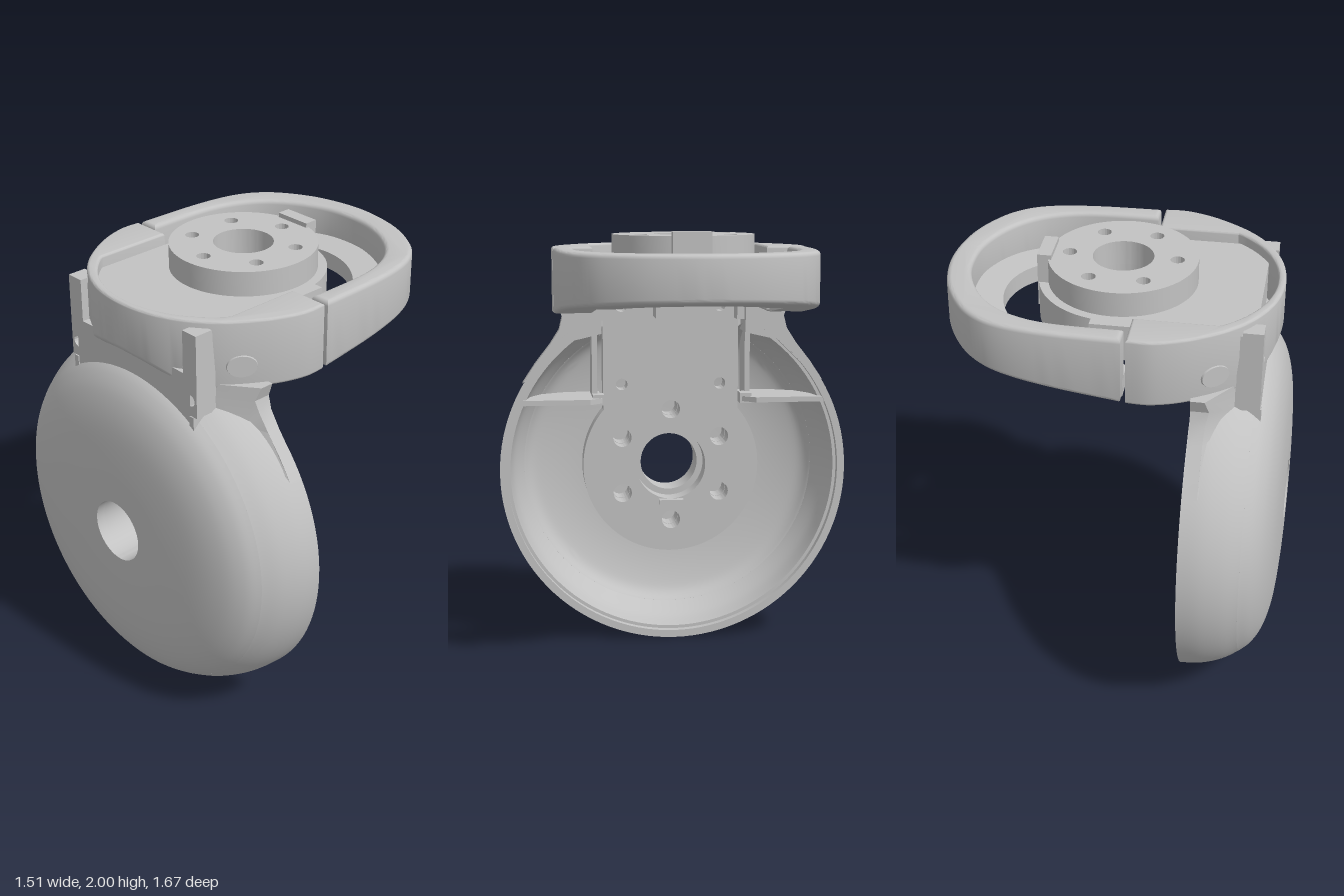
import * as THREE from 'three';
import { toCreasedNormals } from 'three/addons/utils/BufferGeometryUtils.js';

const grey = new THREE.MeshStandardMaterial({ color: 0xc2c2c2, side: THREE.DoubleSide });
grey.name = 'plain grey';

const HUB_Y = 0.84; // height of the bowl axis

export function createModel() {
  const model = new THREE.Group();

  const add = (name, geometry) => {
    const mesh = new THREE.Mesh(toCreasedNormals(geometry, 0.55), grey);
    mesh.name = name;
    model.add(mesh);
  };
  const box = (name, x0, x1, y0, y1, z0, z1) => add(name,
    new THREE.BoxGeometry(x1 - x0, y1 - y0, z1 - z0)
      .translate((x0 + x1) / 2, (y0 + y1) / 2, (z0 + z1) / 2));
  const vectors = (list) => list.map(([x, y]) => new THREE.Vector2(x, y));
  const smooth = (list, n = 24) => new THREE.SplineCurve(vectors(list)).getPoints(n);
  const polygon = (list) => new THREE.Shape(vectors(list));

  const extrude = (shape, depth, bevel = 0) => new THREE.ExtrudeGeometry(shape, {
    depth: depth - 2 * bevel, curveSegments: 48, bevelEnabled: bevel > 0, bevelSize: bevel,
    bevelThickness: bevel, bevelOffset: -bevel, bevelSegments: 4,
  }).translate(0, 0, bevel);
  // Shape in (x, z) raised from y0 to y1
  const slabUp = (shape, y0, y1, bevel) =>
    extrude(shape, y1 - y0, bevel).rotateX(-Math.PI / 2).translate(0, y0, 0);
  // Shape in (z, y) pushed from x0 to x1
  const slabAcross = (shape, x0, x1) =>
    extrude(shape, x1 - x0).rotateY(Math.PI / 2).translate(x0, 0, 0);
  const moveVertices = (geometry, rule) => {
    const p = geometry.attributes.position;
    const v = new THREE.Vector3();
    for (let i = 0; i < p.count; i++) {
      rule(v.fromBufferAttribute(p, i));
      p.setXYZ(i, v.x, v.y, v.z);
    }
    return geometry;
  };
  const hole = (shape, x, y, r) => {
    shape.holes.push(new THREE.Path().absarc(x, y, r, 0, Math.PI * 2, true));
  };
  const boltCircle = (shape, cy, radius, r, start) => {
    for (let i = 0; i < 6; i++) {
      const a = start + i * Math.PI / 3;
      hole(shape, radius * Math.cos(a), cy + radius * Math.sin(a), r);
    }
  };

  // Bowl: a full back shell and a front rim left open at the top
  const lathe = (points, start = 0, length = Math.PI * 2) =>
    new THREE.LatheGeometry(points, 96, start, length)
      .rotateZ(-Math.PI / 2).translate(0, HUB_Y, 0);
  add('bowlBack', lathe([
    ...smooth([[0.14, -0.755], [0.3, -0.753], [0.5, -0.737], [0.63, -0.705], [0.71, -0.66], [0.755, -0.61]]),
    ...smooth([[0.715, -0.6], [0.65, -0.655], [0.45, -0.7], [0.14, -0.712]]),
    new THREE.Vector2(0.14, -0.755),
  ]));
  const gap = 0.46;
  add('bowlRim', lathe([
    ...smooth([[0.755, -0.61], [0.797, -0.54], [0.826, -0.45], [0.835, -0.355]], 14),
    ...vectors([[0.8, -0.355], [0.8, -0.39]]),
    ...smooth([[0.785, -0.39], [0.765, -0.5], [0.715, -0.6]], 12),
  ], Math.PI * 1.5 + gap, Math.PI * 2 - 2 * gap));

  // Hub inside the bowl
  const hubDisc = new THREE.Shape().absarc(0, HUB_Y, 0.36, 0, Math.PI * 2);
  hole(hubDisc, 0, HUB_Y, 0.14);
  boltCircle(hubDisc, HUB_Y, 0.275, 0.043, Math.PI / 2);
  add('hubDisc', slabAcross(hubDisc, -0.715, -0.6));

  // Upright bracket plate, rounded around the hub
  const upright = new THREE.Shape();
  const corner = Math.acos(0.33 / 0.43);
  upright.moveTo(0.33, 1.8);
  upright.lineTo(-0.33, 1.8);
  upright.absarc(0, HUB_Y, 0.43, Math.PI - corner, Math.PI * 2 + corner, false);
  upright.closePath();
  hole(upright, 0, HUB_Y, 0.17);
  boltCircle(upright, HUB_Y, 0.275, 0.045, Math.PI / 2);
  for (const s of [-1, 1]) for (const y of [1.24, 1.62]) hole(upright, s * 0.24, y, 0.028);
  add('uprightPlate', slabAcross(upright, -0.6, -0.5));
  box('hubKey', -0.68, -0.46, 0.645, 0.67, -0.06, 0.06);

  // Level bracket plate with its round mount
  const level = new THREE.Shape();
  const mountAngle = Math.acos(0.08 / 0.36);
  level.moveTo(-0.6, -0.393);
  level.lineTo(0.08, -0.393);
  level.absarc(0, 0, 0.36, -mountAngle, mountAngle, false);
  level.lineTo(0.08, 0.393);
  level.lineTo(-0.6, 0.393);
  level.closePath();
  hole(level, 0, 0, 0.13);
  boltCircle(level, 0, 0.235, 0.045, 0);
  add('levelPlate', slabUp(level, 1.71, 1.87));
  const mountDisc = new THREE.Shape().absarc(0, 0, 0.32, 0, Math.PI * 2);
  hole(mountDisc, 0, 0, 0.13);
  boltCircle(mountDisc, 0, 0.23, 0.03, 0);
  add('mountDisc', slabUp(mountDisc, 1.87, 1.98));
  box('mountStop', 0.295, 0.355, 1.76, 2.0, -0.085, 0.085);
  box('cornerStop', -0.52, -0.36, 1.57, 1.72, -0.085, 0.085);

  // Loop frame: half outlines mirrored in z
  const mirrored = (half) => [
    ...half, ...half.slice(0, -1).reverse().map(([x, z]) => [x, -z]),
  ];
  const frame = (outer, inner, smoothInner) => new THREE.Shape([
    ...smooth(mirrored(outer), 72),
    ...(smoothInner ? smooth(mirrored(inner), 72) : vectors(mirrored(inner))).reverse(),
  ]);
  // Arc points from angle a down to 0 around (cx, 0)
  const arc = (cx, rx, rz, a) => Array.from({ length: 17 }, (_, i) => {
    const t = a * (1 - i / 16);
    return [cx + rx * Math.cos(t), rz * Math.sin(t)];
  });
  const slope = (v) => { if (v.y < 1.8) v.y += (v.x + 0.08) * 0.12; };

  const rim = frame(
    [[-0.08, 0.58], [0.2, 0.572], [0.4, 0.545], [0.53, 0.49], [0.63, 0.39], [0.715, 0.22], [0.75, 0]],
    [[-0.08, 0.49], [0.2, 0.485], [0.36, 0.45], [0.48, 0.38], [0.57, 0.27], [0.63, 0.13], [0.645, 0]], true);
  add('frontFrameRim', moveVertices(slabUp(rim, 1.62, 1.92, 0.02), slope));

  const floor = frame(
    [[-0.08, 0.53], [0.2, 0.525], [0.4, 0.48], [0.52, 0.4], [0.61, 0.28], [0.66, 0.14], [0.68, 0]],
    [[-0.08, 0.41], [0.3, 0.41], [0.3, 0.34], ...arc(0.145, 0.375, 0.375, 0.927)], false);
  add('frontFrameFloor', moveVertices(slabUp(floor, 1.622, 1.7), slope));

  const rear = frame(
    [[-0.1, 0.58], [-0.21, 0.58], [-0.35, 0.53], [-0.5, 0.43], [-0.6, 0.315], [-0.667, 0.17], [-0.69, 0]],
    [[-0.1, 0.4], [-0.45, 0.4], ...arc(-0.2, -0.457, 0.48, 0.94)], false);
  add('rearFrame', moveVertices(slabUp(rear, 1.62, 1.92, 0.012), (v) => {
    if (v.y < 1.8) v.y += Math.max(0, -0.6 - v.x);
  }));

  // Wall joining the bowl to the frame at the back
  box('rearWall', -0.635, -0.6, 1.48, 1.7, -0.36, 0.36);

  for (const s of [-1, 1]) {
    const side = s > 0 ? 'left' : 'right';
    const sideBox = (name, x0, x1, y0, y1, z0, z1) =>
      box(side + name, x0, x1, y0, y1, Math.min(s * z0, s * z1), Math.max(s * z0, s * z1));

    // Screw post with its hole, widening toward the foot
    const post = polygon([[0.32, 1.52], [0.4, 1.52], [0.4, 1.89], [0.32, 1.89]]
      .map(([z, y]) => [-s * z, y]));
    hole(post, -s * 0.362, 1.59, 0.025);
    add(side + 'ScrewPost', moveVertices(slabAcross(post, -0.635, -0.55), (v) => {
      if (v.x > -0.6) v.x += (1.89 - v.y) * 0.09;
    }));

    // Flared neck, following the curve of the frame above it
    const flare = polygon([
      [0.345, 1.64], [0.55, 1.64], [0.53, 1.58], [0.545, 1.52], [0.59, 1.45], [0.66, 1.36],
      [0.72, 1.27], [0.62, 1.345], [0.5, 1.464], [0.345, 1.5],
    ].map(([z, y]) => [-s * z, y]));
    add(side + 'Neck', moveVertices(slabAcross(flare, -0.6, -0.36), (v) => {
      const z = THREE.MathUtils.clamp(Math.abs(v.z), 0.38, 0.55);
      if (v.x < -0.5) v.x = THREE.MathUtils.mapLinear(z, 0.38, 0.55, -0.57, -0.42);
    }));

    // Inner guide rib, clip and shelf
    sideBox('GuideRib', -0.64, -0.48, 1.15, 1.52, 0.36, 0.385);
    sideBox('GuideClip', -0.5, -0.4, 1.56, 1.69, 0.31, 0.38);
    sideBox('GuideFoot', -0.5, -0.42, 1.15, 1.2, 0.33, 0.385);
    const shelf = polygon([[-0.365, 0.72], [-0.365, 0.74], [-0.5, 0.7], [-0.6, 0.63], [-0.66, 0.52],
      [-0.69, 0.34], [-0.42, 0.34], [-0.365, 0.4]].map(([x, z]) => [x, -s * z]));
    add(side + 'Shelf', slabUp(shelf, 1.16, 1.185));

    // Oval screw seat on the curved side of the frame
    const seat = new THREE.CylinderGeometry(0.062, 0.066, 0.016, 32)
      .scale(1, 1, 0.75).rotateX(Math.PI / 2).rotateY(s * -0.62 + (s < 0 ? Math.PI : 0));
    add(side + 'ScrewSeat', seat.translate(-0.45, 1.72, s * 0.468));
  }

  return model;
}
